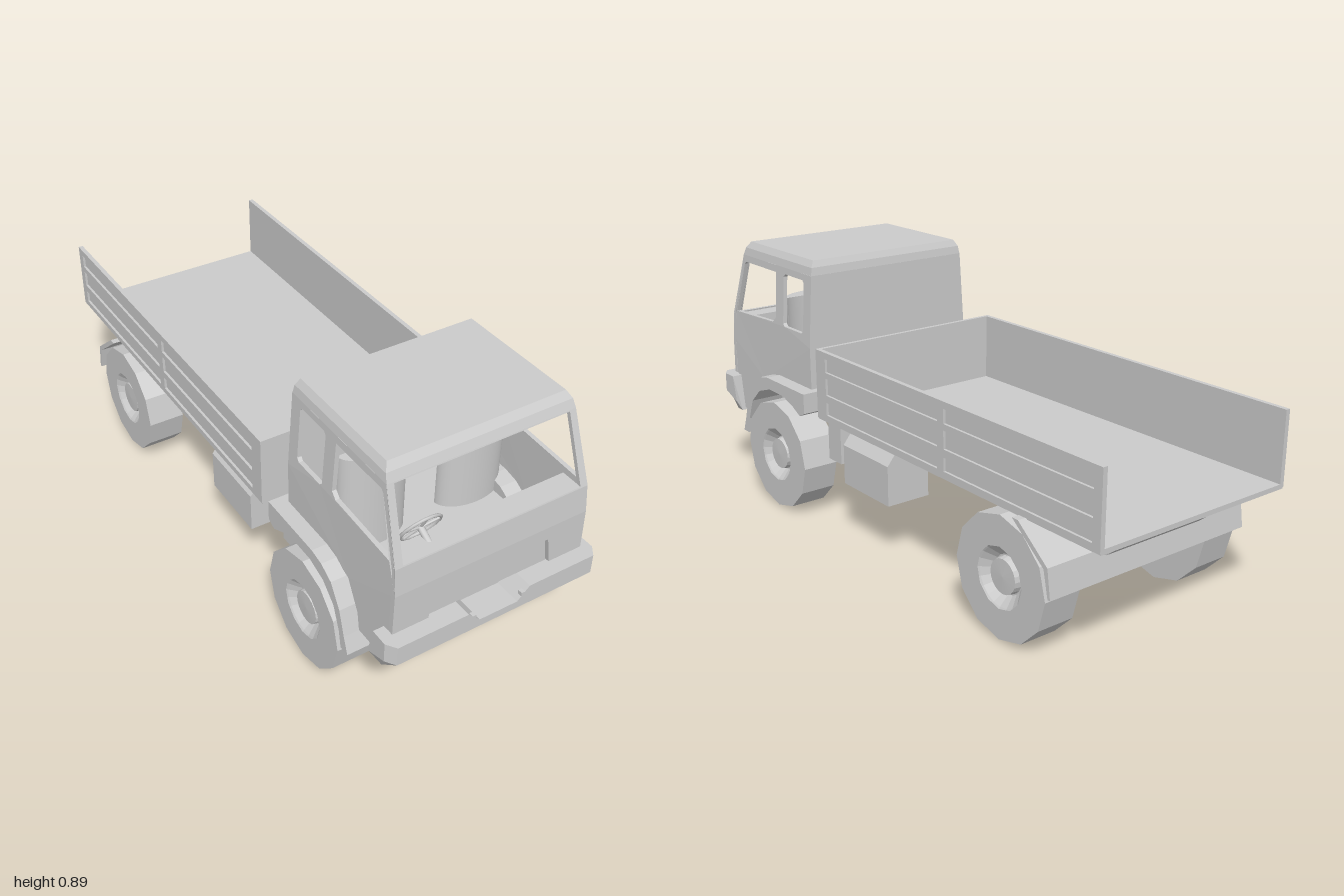
import * as THREE from 'three';

const grey = new THREE.MeshStandardMaterial({ color: 0xcccccc, flatShading: true });
const smooth = new THREE.MeshStandardMaterial({ color: 0xcccccc });
const thin = new THREE.MeshStandardMaterial({ color: 0xcccccc, side: THREE.DoubleSide });

const v2 = pts => pts.map(p => new THREE.Vector2(p[0], p[1]));
const rect = (a0, a1, b0, b1) => [[a0, b0], [a1, b0], [a1, b1], [a0, b1]];

function extrude(pts, depth, holes = []) {
  const shape = new THREE.Shape(v2(pts));
  holes.forEach(h => shape.holes.push(new THREE.Path(v2(h))));
  return new THREE.ExtrudeGeometry(shape, { depth, bevelEnabled: false });
}

// Profile in (z, y), extruded from x0 to x1
function sideExtrude(pts, x0, x1, holes) {
  return extrude(pts, x1 - x0, holes).rotateY(-Math.PI / 2).translate(x1, 0, 0);
}

function box(x0, x1, y0, y1, z0, z1) {
  return new THREE.BoxGeometry(x1 - x0, y1 - y0, z1 - z0)
    .translate((x0 + x1) / 2, (y0 + y1) / 2, (z0 + z1) / 2);
}

// Moves every vertex by a rule
function warp(geo, rule) {
  const p = geo.attributes.position;
  for (let i = 0; i < p.count; i++) p.setXYZ(i, ...rule(p.getX(i), p.getY(i), p.getZ(i)));
  geo.computeVertexNormals();
  return geo;
}

// Reflection across x = 0 with the winding put right
function mirrored(geo) {
  const src = (geo.index ? geo.toNonIndexed() : geo).attributes.position;
  const out = [];
  for (let i = 0; i < src.count; i += 3) {
    for (const k of [i, i + 2, i + 1]) out.push(-src.getX(k), src.getY(k), src.getZ(k));
  }
  const g = new THREE.BufferGeometry();
  g.setAttribute('position', new THREE.Float32BufferAttribute(out, 3));
  g.computeVertexNormals();
  return g;
}

// Closed rings of equal length joined into a capped solid
function loft(rings) {
  const n = rings[0].length, idx = [], last = (rings.length - 1) * n;
  for (let r = 0; r < rings.length - 1; r++) {
    for (let i = 0; i < n; i++) {
      const a = r * n + i, b = r * n + (i + 1) % n;
      idx.push(a, b, b + n, a, b + n, a + n);
    }
  }
  for (let i = 1; i < n - 1; i++) idx.push(0, i + 1, i, last, last + i, last + i + 1);
  const g = new THREE.BufferGeometry();
  g.setAttribute('position', new THREE.Float32BufferAttribute(rings.flat(2), 3));
  g.setIndex(idx);
  const flat = g.toNonIndexed();
  flat.computeVertexNormals();
  return flat;
}

function rod(from, to, radius) {
  const a = new THREE.Vector3(...from), b = new THREE.Vector3(...to), d = b.clone().sub(a);
  const g = new THREE.CylinderGeometry(radius, radius, d.length(), 10);
  g.applyQuaternion(new THREE.Quaternion().setFromUnitVectors(new THREE.Vector3(0, 1, 0), d.normalize()));
  return g.translate(...a.add(b).multiplyScalar(0.5).toArray());
}

export function createModel() {
  const truck = new THREE.Group();
  const add = (name, geo, mat = grey, parent = truck) => {
    const m = new THREE.Mesh(geo, mat);
    m.name = name;
    parent.add(m);
    return m;
  };
  const pair = (name, geo, mat) => {
    add(name + 'Left', geo, mat);
    add(name + 'Right', mirrored(geo), mat);
  };

  // Cab sides with two windows, leaning in above the sill
  const lean = y => 0.016 * Math.max(0, (y - 0.6) / 0.242);
  const cabSide = [[0.42, 0.45], [0.42, 0.6], [0.42, 0.842], [0.873, 0.842], [0.945, 0.62], [0.956, 0.53],
    [0.952, 0.4], [0.93, 0.39], [0.9, 0.27], [0.8, 0.27], [0.79, 0.33], [0.74, 0.42], [0.65, 0.45]];
  const frontWindow = [[0.92, 0.63], [0.865, 0.81], [0.855, 0.818], [0.645, 0.818], [0.645, 0.66], [0.665, 0.642]];
  const rearWindow = [[0.475, 0.64], [0.585, 0.64], [0.595, 0.65], [0.595, 0.81],
    [0.585, 0.82], [0.475, 0.82], [0.465, 0.81], [0.465, 0.65]];
  pair('cabSide', warp(sideExtrude(cabSide, 0.308, 0.322, [frontWindow, rearWindow]),
    (x, y, z) => [x - lean(y), y, z]));

  // Cab back, floor and roof
  add('cabBack', warp(new THREE.BoxGeometry(0.636, 0.442, 0.014, 1, 4, 1).translate(0, 0.621, 0.427),
    (x, y, z) => [x - Math.sign(x) * lean(y), y, z]));
  add('cabFloor', box(-0.315, 0.315, 0.4, 0.415, 0.42, 0.94));
  const roofRing = (y, hx, z0, z1) => [[-hx, y, z1], [hx, y, z1], [hx, y, z0], [-hx, y, z0]];
  add('roof', loft([roofRing(0.84, 0.306, 0.42, 0.874), roofRing(0.868, 0.301, 0.424, 0.862),
    roofRing(0.89, 0.288, 0.434, 0.845)]));

  // Cab front: windscreen frame above, panel with a recessed grille below
  const frame = extrude([[-0.32, 0.618], [0.32, 0.618], [0.305, 0.842], [-0.305, 0.842]], 0.014,
    [[[-0.295, 0.622], [0.295, 0.622], [0.284, 0.838], [-0.284, 0.838]]]);
  add('windscreenFrame', warp(frame, (x, y, z) => [x, y, z + 0.933 - (y - 0.62) * 0.33]));
  const upperFront = extrude([[-0.322, 0.53], [0.322, 0.53], [0.32, 0.62], [-0.32, 0.62]], 0.014);
  add('upperFrontPanel', warp(upperFront, (x, y, z) => [x, y, z + 0.942 - (y - 0.53) * 0.1]));
  const lowerFront = extrude([[-0.324, 0.395], [-0.207, 0.395], [-0.193, 0.485], [0.193, 0.485],
    [0.207, 0.395], [0.324, 0.395], [0.322, 0.53], [-0.322, 0.53]], 0.016);
  add('lowerFrontPanel', lowerFront.translate(0, 0, 0.94));
  add('grille', extrude([[-0.208, 0.39], [0.208, 0.39], [0.195, 0.487], [-0.195, 0.487]], 0.01)
    .translate(0, 0, 0.932));

  // Dashboard, seats and steering wheel
  add('dashboard', box(-0.3, 0.3, 0.52, 0.617, 0.87, 0.935));
  for (const x of [-0.165, 0.18]) {
    add('seat', new THREE.CylinderGeometry(0.113, 0.113, 0.32, 20, 1, false, -Math.PI / 2, Math.PI)
      .scale(1, 1, 0.55).translate(x, 0.573, 0.603), thin);
  }
  const steering = new THREE.Group();
  steering.name = 'steeringWheel';
  add('rim', new THREE.TorusGeometry(0.062, 0.005, 6, 14), smooth, steering);
  for (let i = 0; i < 5; i++) {
    const a = Math.PI / 2 + i * Math.PI * 0.4;
    add('spoke', rod([0, 0, 0], [0.06 * Math.cos(a), 0.06 * Math.sin(a), 0], 0.004), smooth, steering);
  }
  add('column', rod([0, 0, 0], [0, 0, 0.07], 0.01), smooth, steering);
  steering.position.set(-0.18, 0.632, 0.86);
  steering.rotation.x = 0.5;
  truck.add(steering);

  // Bumper, notched at the middle and tapered at the ends
  const bumperRing = ([x, top, zf, low]) => [[x, top, 0.915], [x, top, zf], [x, 0.325, zf],
    [x, low, zf - 0.07], [x, low, 0.895]];
  add('bumper', loft([[-0.357, 0.39, 0.97, 0.3], [-0.335, 0.39, 1, 0.262], [-0.105, 0.39, 1, 0.262],
    [-0.065, 0.35, 1, 0.262], [0.065, 0.35, 1, 0.262], [0.105, 0.39, 1, 0.262],
    [0.335, 0.39, 1, 0.262], [0.357, 0.39, 0.97, 0.3]].map(bumperRing)));
  pair('headlamp', box(0.078, 0.2, 0.328, 0.375, 0.985, 1));

  // Front mudguards arching over the wheels
  pair('frontFender', sideExtrude([[0.82, 0.215], [0.8, 0.27], [0.775, 0.35], [0.73, 0.42], [0.68, 0.448],
    [0.63, 0.458], [0.39, 0.458], [0.39, 0.39], [0.42, 0.375], [0.47, 0.4], [0.53, 0.418], [0.62, 0.418],
    [0.69, 0.395], [0.745, 0.345], [0.775, 0.27], [0.785, 0.215]], 0.25, 0.372));

  // Chassis with a sloping tail, and the crossbox behind the cab
  add('chassis', sideExtrude([[0.9, 0.27], [0.9, 0.4], [-0.99, 0.4], [-0.85, 0.285], [0.3, 0.285]], -0.185, 0.185));
  add('crossBox', box(-0.28, 0.28, 0.212, 0.392, 0.315, 0.39));
  pair('sideBox', extrude([[0.18, 0.192], [0.335, 0.192], [0.335, 0.325], [0.295, 0.375], [0.18, 0.375]], 0.25)
    .translate(0, 0, -0.04));
  add('rearMudflap', sideExtrude([[-0.69, 0.395], [-0.82, 0.292], [-0.838, 0.21], [-0.848, 0.21],
    [-0.835, 0.3], [-0.715, 0.395]], -0.383, 0.383));

  // Cargo bed: floor, front wall and ribbed sides, open at the back
  add('bedFloor', box(-0.355, 0.355, 0.39, 0.405, -1, 0.325));
  add('bedFrontWall', box(-0.355, 0.355, 0.4, 0.627, 0.312, 0.325));
  const recesses = [];
  for (const [z0, z1] of [[-0.97, -0.357], [-0.327, 0.27]]) {
    for (const [y0, y1] of [[0.415, 0.458], [0.483, 0.54], [0.56, 0.605]]) recesses.push(rect(z0, z1, y0, y1));
  }
  pair('bedSidePanel', box(0.343, 0.35, 0.395, 0.627, -1, 0.325));
  pair('bedSideRibs', sideExtrude(rect(-1, 0.325, 0.395, 0.627), 0.35, 0.358, recesses));

  // Wheels, axles with a central bulge, and drive shafts
  const tyre = new THREE.LatheGeometry(v2([[0, 0.25], [0.19, 0.25], [0.19, 0.375], [0.095, 0.375]]), 12)
    .rotateZ(-Math.PI / 2);
  const hub = new THREE.LatheGeometry(v2([[0.097, 0.375], [0.09, 0.37], [0.06, 0.34], [0.056, 0.34],
    [0.053, 0.362], [0, 0.364]]), 20).rotateZ(-Math.PI / 2);
  const axle = new THREE.LatheGeometry(v2([[0.022, -0.26], [0.022, -0.085], [0.04, -0.02], [0.04, 0.02],
    [0.022, 0.085], [0.022, 0.26]]), 12).rotateZ(-Math.PI / 2);
  for (const [end, z] of [['front', 0.585], ['rear', -0.63]]) {
    add(end + 'Axle', axle, smooth).position.set(0, 0.192, z);
    for (const [side, turn] of [['Left', 0], ['Right', Math.PI]]) {
      const wheel = new THREE.Group();
      wheel.name = end + 'Wheel' + side;
      add('tyre', tyre, grey, wheel);
      add('hub', hub, grey, wheel);
      wheel.position.set(0, 0.19, z);
      wheel.rotation.y = turn;
      truck.add(wheel);
    }
  }
  add('rearDriveShaft', rod([0, 0.262, 0.15], [0, 0.192, -0.62], 0.014), smooth);
  add('frontDriveShaft', rod([0, 0.275, 0.19], [0, 0.195, 0.57], 0.014), smooth);
  return truck;
}
